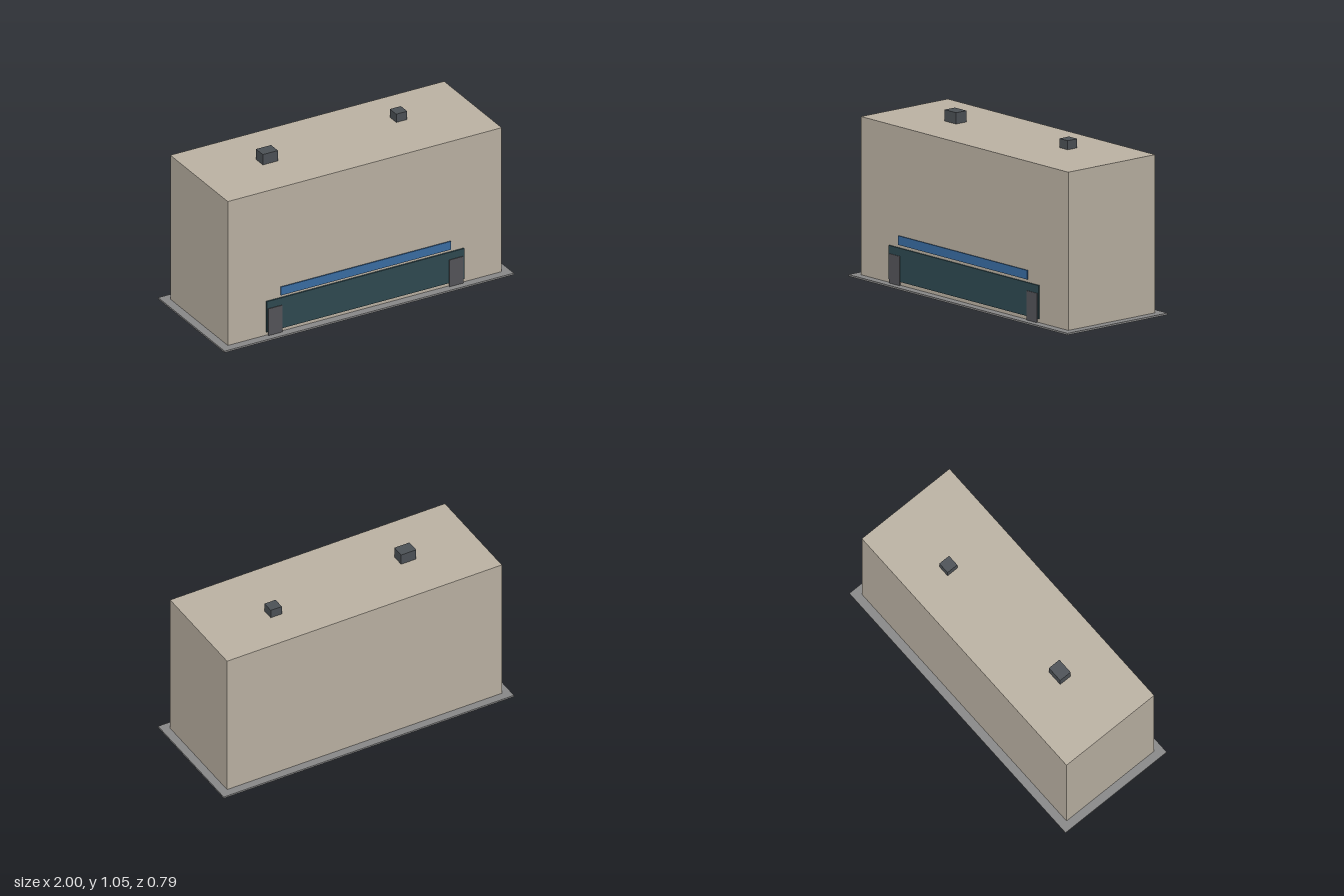
import * as THREE from 'three';

export function createModel() {
  const model = new THREE.Group();
  const material = (color) => new THREE.MeshStandardMaterial({ color });
  const wall = material(0xbdb4a5);
  const paving = material(0x8a8a8a);
  const glass = material(0x2f4a52);
  const blue = material(0x3a6ea5);
  const door = material(0x55555a);
  const metal = material(0x4d5257);

  // Box given by its [min, max] range on each axis
  function box(name, mat, [x0, x1], [y0, y1], [z0, z1]) {
    const mesh = new THREE.Mesh(new THREE.BoxGeometry(x1 - x0, y1 - y0, z1 - z0), mat);
    mesh.position.set((x0 + x1) / 2, (y0 + y1) / 2, (z0 + z1) / 2);
    mesh.name = name;
    model.add(mesh);
  }

  const ground = 0.011, roof = 0.985, front = 0.344;

  // Pavement slab and main block
  box('pavement', paving, [-1, 1], [0, ground], [-0.397, 0.397]);
  box('building', wall, [-0.947, 0.947], [ground, roof], [-front, front]);

  // Shopfront: glazing, sign band standing off the wall, a door at each end
  box('shopWindow', glass, [-0.683, 0.683], [0.034, 0.241], [front, 0.353]);
  box('signBand', blue, [-0.588, 0.588], [0.262, 0.318], [0.353, 0.36]);
  for (const [name, x] of [['rightDoor', -0.626], ['leftDoor', 0.626]]) {
    box(name, door, [x - 0.048, x + 0.048], [ground, 0.192], [0.351, 0.357]);
  }

  // Rooftop units
  box('largeRoofUnit', metal, [-0.53, -0.426], [roof, 1.055], [-0.04, 0.042]);
  box('smallRoofUnit', metal, [0.434, 0.51], [roof, 1.041], [-0.106, -0.03]);

  return model;
}
